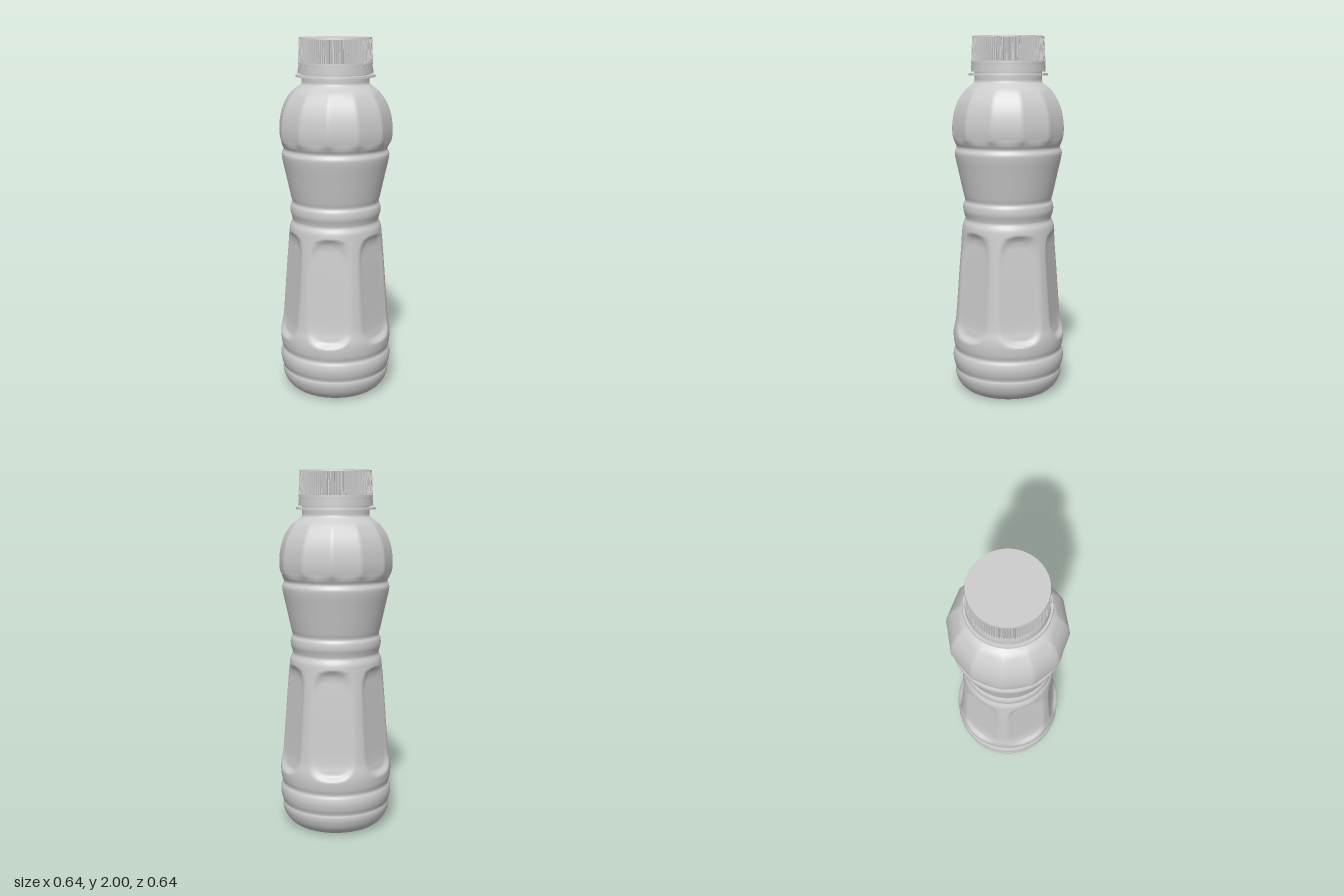
import * as THREE from 'three';

const grey = new THREE.MeshStandardMaterial({ color: 0xcccccc });
grey.name = 'light grey';

const smooth = THREE.MathUtils.smoothstep;
const lerp = THREE.MathUtils.lerp;

// Angle to the nearest of n evenly spaced directions
function offsetAngle(theta, n, start) {
  const step = (Math.PI * 2) / n;
  const t = (theta - start) / step;
  return (t - Math.round(t)) * step;
}

// Closed loops of vertices around y; shape(r, y, theta, j) returns [radius, height]
function loopSurface(profile, segments, shape) {
  const pos = [], index = [];
  profile.forEach(([r0, y0], i) => {
    for (let j = 0; j < segments; j++) {
      const a = (j / segments) * Math.PI * 2;
      const [r, y] = shape(r0, y0, a, j);
      pos.push(r * Math.sin(a), y, r * Math.cos(a));
      if (i === profile.length - 1) continue;
      const p = i * segments + j, q = i * segments + ((j + 1) % segments);
      index.push(p, q, q + segments, p, q + segments, p + segments);
    }
  });
  const g = new THREE.BufferGeometry();
  g.setAttribute('position', new THREE.Float32BufferAttribute(pos, 3));
  g.setIndex(index);
  g.computeVertexNormals();
  return g;
}

// Outer wall profile from the standing rim to the neck: [radius, height]
const wall = [
  [0.2, 0.006], [0.225, 0.001], [0.25, 0.01], [0.285, 0.045], [0.304, 0.09],
  [0.306, 0.115], [0.303, 0.13], [0.313, 0.16], [0.318, 0.195], [0.314, 0.225],
  [0.306, 0.245], [0.313, 0.275], [0.317, 0.32], [0.314, 0.36], [0.304, 0.41],
  [0.292, 0.55], [0.277, 0.75], [0.262, 0.92], [0.256, 0.965], [0.243, 0.995],
  [0.246, 1.015], [0.254, 1.045], [0.252, 1.08], [0.243, 1.1], [0.25, 1.13],
  [0.276, 1.25], [0.298, 1.355], [0.298, 1.375], [0.288, 1.4], [0.299, 1.425],
  [0.311, 1.45], [0.316, 1.49], [0.314, 1.54], [0.303, 1.6], [0.279, 1.66],
  [0.243, 1.71], [0.203, 1.74], [0.187, 1.755], [0.185, 1.78], [0.185, 1.82],
];

function shapeWall(r, y, a) {
  // Six flattened grip panels with rounded ends
  const d = offsetAngle(a, 6, Math.PI / 4);
  const u = Math.abs(d) / 0.45, v = Math.abs(y - 0.63) / 0.3;
  const mask = 1 - smooth(u ** 2.6 + v ** 6, 0.55, 1.1);
  const flat = Math.min(r, (r - 0.027) / Math.cos(d));
  r = lerp(r, flat, mask);
  // Twelve shoulder facets
  const f = offsetAngle(a, 12, 0);
  const facet = smooth(y, 1.415, 1.46) * (1 - smooth(y, 1.68, 1.75));
  r *= lerp(1, Math.cos(Math.PI / 12) / Math.cos(f), facet);
  return [r, y];
}

// Hollow underside with radiating lobes and a small central nub
function shapeBase(r, y, a) {
  const t = r / 0.2;
  const lobe = 0.5 + 0.5 * Math.cos(6 * (a - Math.PI / 4));
  const rise = (1 - smooth(t, 0.25, 1)) * 0.055 + lobe * 0.03 * Math.sin(Math.PI * Math.min(t, 1));
  const nub = 0.025 * (1 - smooth(r, 0.018, 0.034));
  return [r, 0.006 + rise - nub];
}

export function createModel() {
  const model = new THREE.Group();
  model.name = 'bottle';
  const add = (parent, name, geometry, y = 0) => {
    const m = new THREE.Mesh(geometry, grey);
    m.name = name;
    m.position.y = y;
    parent.add(m);
    return m;
  };

  // Body
  const curve = new THREE.CatmullRomCurve3(wall.map(([r, y]) => new THREE.Vector3(r, y, 0)));
  const rows = curve.getPoints((wall.length - 1) * 5).map((p) => [p.x, p.y]);
  add(model, 'body', loopSurface(rows, 144, shapeWall));

  const baseRows = [];
  for (let i = 0; i <= 30; i++) baseRows.push([(0.2 * i) / 30, 0]);
  add(model, 'base', loopSurface(baseRows, 96, shapeBase));

  // Neck flange
  add(model, 'neckFlange', new THREE.CylinderGeometry(0.217, 0.219, 0.012, 96), 1.796);

  // Cap: tamper band, knurled grip, crown
  const cap = new THREE.Group();
  cap.name = 'cap';
  model.add(cap);
  add(cap, 'tamperBand', new THREE.CylinderGeometry(0.204, 0.206, 0.038, 96), 1.829);
  add(cap, 'bandGap', new THREE.CylinderGeometry(0.199, 0.199, 0.012, 96), 1.852);
  add(cap, 'gripHem', new THREE.CylinderGeometry(0.2035, 0.2045, 0.012, 96), 1.861);

  const grip = loopSurface([[0.2035, 1.866], [0.198, 1.992]], 400,
    (r, y, a, j) => [j % 4 < 2 ? r : r - 0.008, y]).toNonIndexed();
  grip.computeVertexNormals();
  add(cap, 'knurledGrip', grip);
  add(cap, 'crown', new THREE.CylinderGeometry(0.1965, 0.1985, 0.01, 96), 1.995);
  return model;
}
